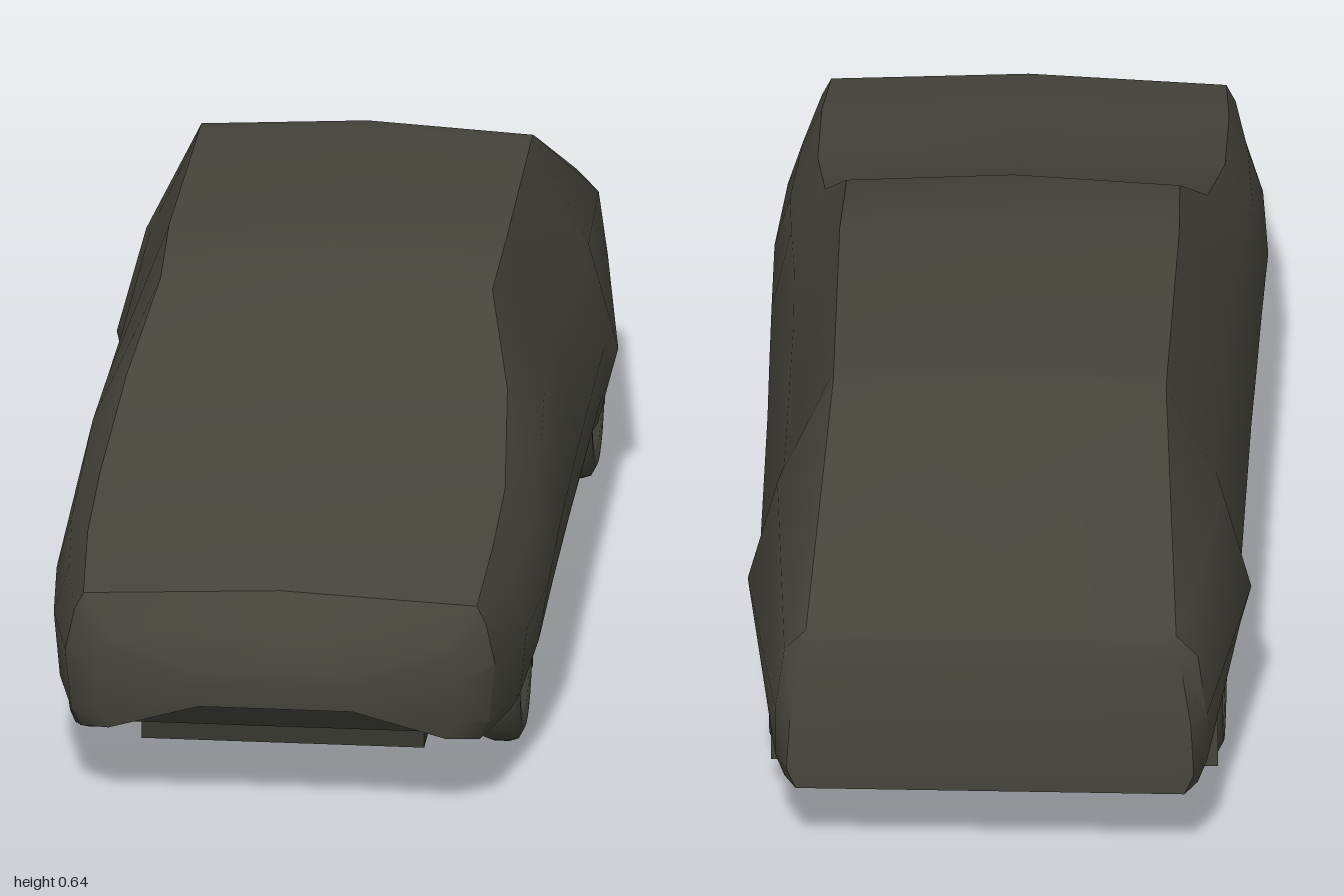
import * as THREE from 'three';
import { toCreasedNormals } from 'three/addons/utils/BufferGeometryUtils.js';

const mat = (name, color, side = THREE.FrontSide) => {
  const m = new THREE.MeshStandardMaterial({ color, side });
  m.name = name;
  return m;
};

// Joins open rings of points into a skin, with optional end caps
function loft(rings, caps) {
  const n = rings[0].length, pos = rings.flat(2), idx = [];
  for (let i = 0; i < rings.length - 1; i++) {
    for (let j = 0; j < n - 1; j++) {
      const a = i * n + j, b = a + 1, c = a + n, d = c + 1;
      idx.push(a, c, b, b, c, d);
    }
  }
  if (caps) {
    const l = (rings.length - 1) * n;
    for (let j = 0; j < (n - 1) / 2; j++) {
      const k = n - 1 - j;
      idx.push(j, j + 1, k, j + 1, k - 1, k);
      idx.push(l + j, l + k, l + j + 1, l + j + 1, l + k, l + k - 1);
    }
  }
  const g = new THREE.BufferGeometry();
  g.setAttribute('position', new THREE.Float32BufferAttribute(pos, 3));
  g.setIndex(idx);
  return toCreasedNormals(g, 0.65);
}

// z, ridge y, roof edge x, waist x y, widest line x y, hem x y, tucked edge y
const sections = [
  [-1.00, .385, .29, .31, .34, .325, .25, .33, .165, .13],
  [-.95, .412, .30, .335, .36, .35, .25, .35, .165, .125],
  [-.53, .630, .27, .36, .43, .408, .25, .39, .18, .12],
  [-.49, .633, .27, .35, .44, .39, .27, .385, .18, .12],
  [-.04, .640, .275, .35, .44, .392, .27, .385, .18, .12],
  [.15, .620, .27, .355, .435, .395, .27, .385, .175, .12],
  [.31, .510, .31, .365, .415, .397, .27, .385, .17, .12],
  [.55, .430, .33, .375, .34, .40, .25, .385, .155, .115],
  [.75, .405, .33, .36, .33, .385, .25, .375, .14, .11],
  [.92, .365, .32, .335, .32, .35, .25, .34, .15, .12],
  [.965, .310, .27, .29, .28, .30, .235, .29, .165, .135],
  [1.00, .260, .13, .14, .24, .15, .225, .14, .20, .19],
];

export function createModel() {
  const car = new THREE.Group();
  car.name = 'coveredCar';
  const cover = mat('cover olive grey', 0x45443b);
  const under = mat('underbody grey', 0x363730, THREE.DoubleSide);
  const tyre = mat('wheel grey', 0x42423a, THREE.DoubleSide);
  const rust = mat('exhaust rust', 0x7c463c);

  const add = (name, geo, material, x = 0, y = 0, z = 0) => {
    const m = new THREE.Mesh(geo, material);
    m.name = name;
    m.position.set(x, y, z);
    car.add(m);
    return m;
  };
  const box = (name, w, h, d, material, x, y, z) =>
    add(name, new THREE.BoxGeometry(w, h, d), material, x, y, z);
  const pipe = (name, pts, r, material) => {
    const curve = new THREE.CatmullRomCurve3(pts.map(p => new THREE.Vector3(...p)), false, 'catmullrom', 0.2);
    return add(name, new THREE.TubeGeometry(curve, 32, r, 8), material);
  };

  // Draped cover over the whole body, mirrored across x; the tail leans forward
  const rings = sections.map(([z, top, edgeX, waistX, waistY, midX, midY, hemX, hemY, tuckY], i) => {
    const lean = y => z + (i === 0 ? Math.max(0, y - 0.165) * 0.16 : 0);
    const half = [[edgeX, top - 0.015], [waistX, waistY], [midX, midY], [hemX, hemY], [hemX - 0.015, tuckY]]
      .map(([x, y]) => [x, y, lean(y)]);
    const mirrored = half.map(([x, y, w]) => [-x, y, w]).reverse();
    return [...mirrored, [0, top, lean(top)], ...half];
  });
  add('cover', loft(rings, true), cover);

  // Floor pan, slightly raised inside the tucked hem
  const floor = rings.map(ring => {
    const [x, y, z] = ring[ring.length - 1];
    return [[x, y, z], [x - 0.03, y + 0.012, z], [0.03 - x, y + 0.012, z], [-x, y, z]];
  });
  add('floorPan', loft(floor, false), under);

  // Wheels with dished hubs, and the mud flaps behind them
  const profile = [[0, .022], [.045, .022], [.05, .012], [.068, .012], [.078, .034], [.10, .036],
    [.117, .027], [.122, .012], [.122, -.012], [.117, -.027], [.10, -.036], [.078, -.034],
    [.068, -.01], [0, -.01]].map(([r, h]) => new THREE.Vector2(r, h));
  for (const s of [-1, 1]) {
    for (const [end, z] of [['front', .59], ['rear', -.61]]) {
      const wheel = add(end + 'Wheel', new THREE.LatheGeometry(profile, 24), tyre, s * .332, .122, z);
      wheel.rotation.z = -s * Math.PI / 2;
      const flap = box(end + 'MudFlap', .12, .085, .006, tyre, s * .302, .1, z - .165);
      flap.rotation.x = 0.1;
    }
    // Sills, floor rails and suspension arms
    box('sill', .025, .025, .82, under, s * .335, .115, -.01);
    box('floorRail', .04, .02, .40, under, s * .17, .115, .22);
    box('rearRail', .03, .02, .50, under, s * .24, .118, -.68);
    pipe('frontArm', [[s * .06, .11, .56], [s * .30, .11, .59]], .012, tyre);
    pipe('frontStrut', [[s * .12, .115, .38], [s * .29, .105, .57]], .008, tyre);
    pipe('trailingArm', [[s * .20, .118, -.32], [s * .29, .115, -.59]], .012, tyre);
  }

  // Axle, cross members, engine sump and front undertray
  pipe('rearAxle', [[-.31, .12, -.61], [.31, .12, -.61]], .016, tyre);
  box('frontCrossMember', .46, .03, .06, tyre, 0, .105, .47);
  box('gearbox', .10, .03, .22, tyre, 0, .115, .36);
  box('engineSump', .16, .04, .18, tyre, -.06, .105, .66);
  box('undertray', .46, .035, .07, under, 0, .102, .84);

  // Exhaust line with two silencers, fuel tank and a small floor plate
  pipe('exhaustPipe', [[.08, .115, .68], [.05, .11, .45], [0, .11, .25], [0, .11, 0],
    [-.02, .11, -.2], [.08, .11, -.32], [.13, .10, -.45], [.14, .098, -.61], [.14, .11, -.75]], .009, rust);
  for (const [name, x, z] of [['middleSilencer', 0, .15], ['rearSilencer', .14, -.8]]) {
    const can = add(name, new THREE.CylinderGeometry(.032, .032, .24, 16), rust, x, .118, z);
    can.rotation.x = Math.PI / 2;
    can.scale.x = 1.25;
  }
  box('fuelTank', .22, .03, .20, under, -.07, .125, -.43);
  box('tankPlate', .16, .006, .13, rust, -.07, .109, -.43);
  box('floorPlate', .06, .006, .10, rust, -.28, .128, .2);
  return car;
}
